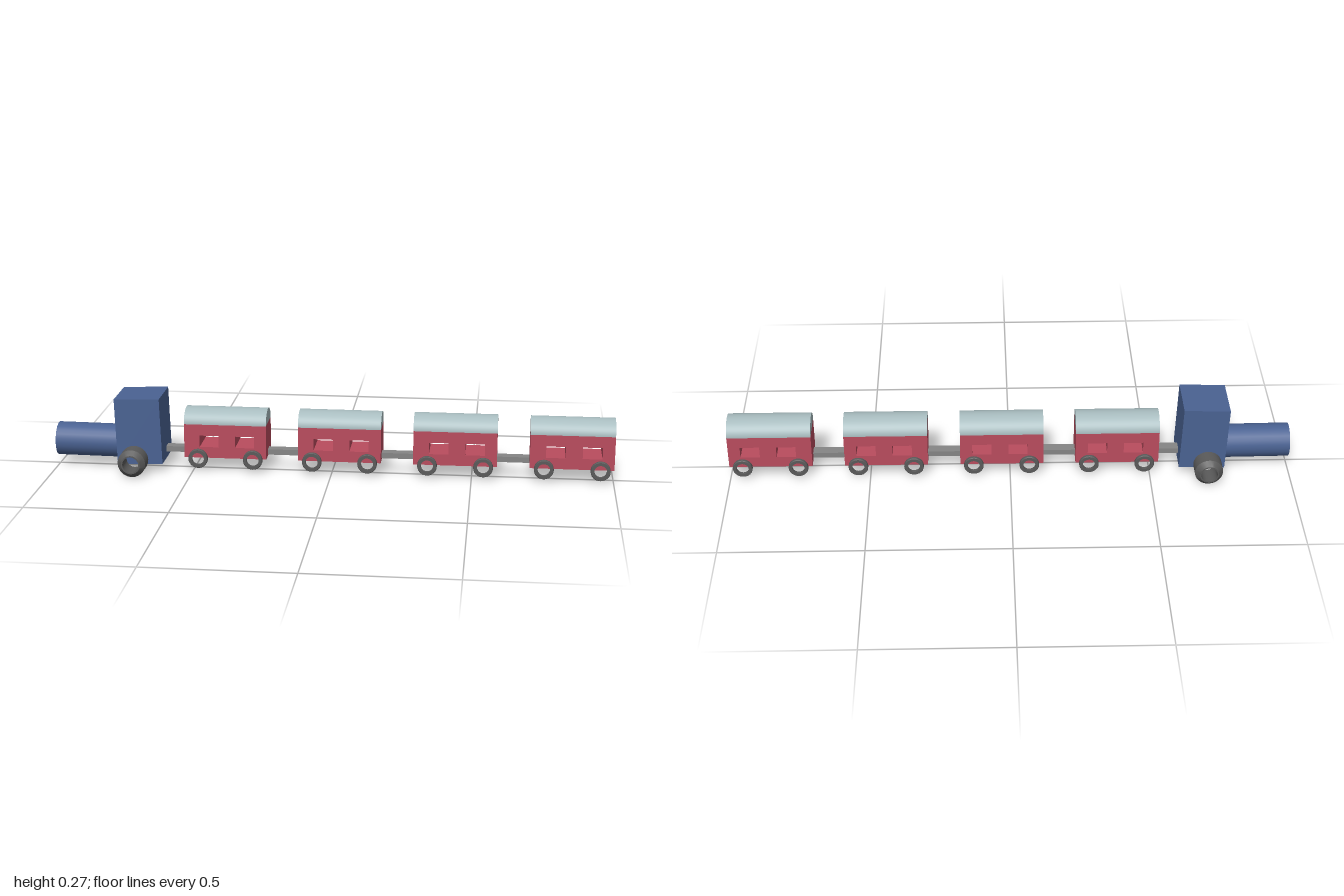
import * as THREE from 'three';
import { toCreasedNormals } from 'three/addons/utils/BufferGeometryUtils.js';

const paint = (color) => new THREE.MeshStandardMaterial({ color });
const BLUE = paint(0x4a6292);
const RED = paint(0xb94c5e);
const ROOF = paint(0xa9bdc0);
const DARK = paint(0x5a5a5a);
const STEEL = paint(0x858585);

function add(parent, name, geometry, material, x, y, z) {
  const mesh = new THREE.Mesh(geometry, material);
  mesh.name = name;
  mesh.position.set(x, y, z);
  parent.add(mesh);
  return mesh;
}

// Bored wheel with a chamfered outer rim; inner face at z = 0, outer face towards +z
function wheelGeometry(radius, hole, rim, width, chamfer) {
  const profile = [
    [hole, 0], [radius, 0], [radius, width - chamfer], [rim, width], [hole, width], [hole, 0],
  ].map(([r, h]) => new THREE.Vector2(r, h));
  const geometry = new THREE.LatheGeometry(profile, 24);
  geometry.rotateX(Math.PI / 2);
  return toCreasedNormals(geometry, 0.5);
}

// Side wall outline with two window openings, extruded across the carriage
function carriageGeometry(length, height, width) {
  const rect = (target, x0, y0, x1, y1) => {
    target.moveTo(x0, y0);
    target.lineTo(x1, y0);
    target.lineTo(x1, y1);
    target.lineTo(x0, y1);
    target.closePath();
    return target;
  };
  const shape = rect(new THREE.Shape(), -length / 2, 0, length / 2, height);
  for (const x of [-0.092, 0.036]) {
    shape.holes.push(rect(new THREE.Path(), x, 0.04, x + 0.069, 0.082));
  }
  const geometry = new THREE.ExtrudeGeometry(shape, { depth: width, bevelEnabled: false });
  geometry.translate(0, 0, -width / 2);
  return geometry;
}

export function createModel() {
  const train = new THREE.Group();
  train.name = 'train';

  // Locomotive: slightly tilted cab, boiler and two heavy wheels
  const locomotive = new THREE.Group();
  locomotive.name = 'locomotive';
  train.add(locomotive);
  const cab = add(locomotive, 'cab', new THREE.BoxGeometry(0.163, 0.24, 0.172), BLUE, -0.688, 0.152, 0);
  cab.rotation.z = 0.03;

  const boilerGeometry = new THREE.CylinderGeometry(0.06, 0.06, 0.26, 24);
  boilerGeometry.rotateZ(Math.PI / 2);
  const boiler = add(locomotive, 'boiler', boilerGeometry, BLUE, -0.87, 0.092, -0.004);
  boiler.rotation.z = -0.01;

  const driveWheel = wheelGeometry(0.05, 0.029, 0.034, 0.072, 0.018);
  for (const side of [1, -1]) {
    const wheel = add(locomotive, 'driveWheel', driveWheel, DARK, -0.704, 0.05, side * 0.088);
    if (side < 0) wheel.rotation.y = Math.PI;
  }

  // Four identical carriages with a coupling bar in front of each
  const length = 0.296, width = 0.125, spacing = 0.411, offsetZ = -0.0125;
  const bodyGeometry = carriageGeometry(length, 0.123, width);
  const roofGeometry = new THREE.CylinderGeometry(1, 1, length, 24, 1, false, 0, Math.PI);
  roofGeometry.rotateZ(Math.PI / 2);
  roofGeometry.scale(1, 0.05, width / 2);
  const smallWheel = wheelGeometry(0.035, 0.022, 0.033, 0.012, 0.003);

  for (let i = 0; i < 4; i++) {
    const carriage = new THREE.Group();
    carriage.name = 'carriage';
    carriage.position.set(-0.381 + i * spacing, 0, offsetZ);
    train.add(carriage);

    add(carriage, 'carriageBody', bodyGeometry, RED, 0, 0.052, 0);
    add(carriage, 'carriageRoof', roofGeometry, ROOF, 0, 0.175, 0);

    for (const x of [-0.098, 0.1]) {
      for (const side of [1, -1]) {
        const wheel = add(carriage, 'carriageWheel', smallWheel, DARK, x, 0.05, side * width / 2);
        if (side < 0) wheel.rotation.y = Math.PI;
      }
    }

    const barLength = i === 0 ? 0.085 : spacing - length;
    add(carriage, 'couplingBar', new THREE.BoxGeometry(barLength, 0.02, 0.037), STEEL,
      -length / 2 - barLength / 2, 0.067, 0);
  }

  return train;
}
